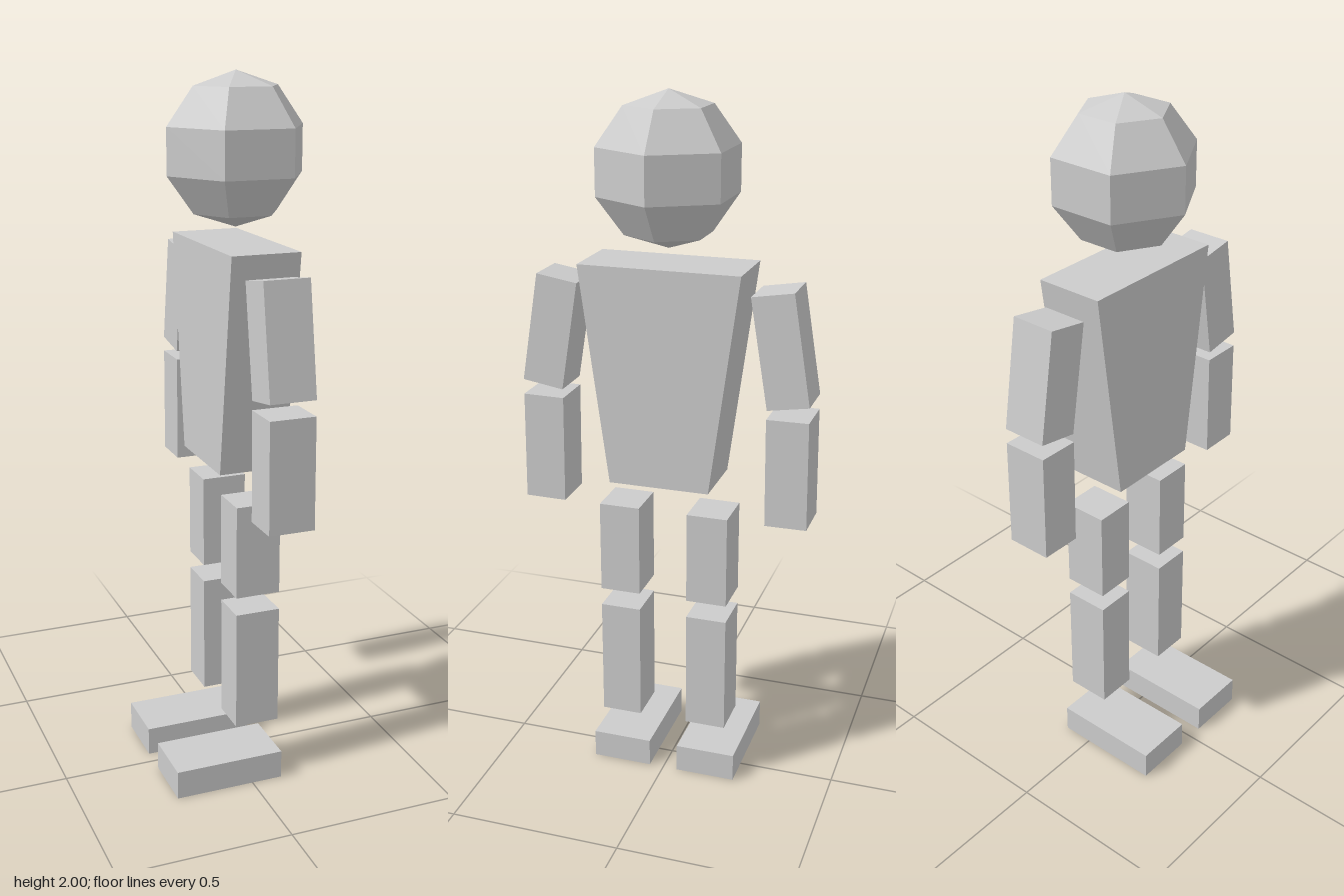
import * as THREE from 'three';

const material = new THREE.MeshStandardMaterial({ color: 0xcccccc, flatShading: true });

function addPart(parent, name, geometry, x, y, z, tilt = 0) {
  const mesh = new THREE.Mesh(geometry, material);
  mesh.name = name;
  mesh.position.set(x, y, z);
  mesh.rotation.x = tilt;
  parent.add(mesh);
  return mesh;
}

// Box whose bottom is narrowed along z
function taperedBox(width, height, topDepth, bottomDepth) {
  const geometry = new THREE.BoxGeometry(width, height, topDepth);
  const p = geometry.attributes.position;
  for (let i = 0; i < p.count; i++) {
    if (p.getY(i) < 0) p.setZ(i, p.getZ(i) * bottomDepth / topDepth);
  }
  geometry.computeVertexNormals();
  return geometry;
}

export function createModel() {
  const figure = new THREE.Group();
  figure.name = 'blockFigure';

  // Head and tapered torso
  addPart(figure, 'head', new THREE.SphereGeometry(0.206, 6, 5), 0.03, 1.794, 0);
  addPart(figure, 'torso', taperedBox(0.196, 0.616, 0.454, 0.287), 0.026, 1.24, 0.001);

  // Limbs, mirrored across z; the toes point to -x
  const limbX = 0.025, limbW = 0.13, limbD = 0.118;
  for (const [side, s] of [['left', 1], ['right', -1]]) {
    const arm = new THREE.Group();
    arm.name = side + 'Arm';
    addPart(arm, side + 'UpperArm', new THREE.BoxGeometry(limbW, 0.311, limbD), limbX, 1.343, s * 0.327, -s * 0.162);
    addPart(arm, side + 'Forearm', new THREE.BoxGeometry(limbW, 0.31, limbD), limbX, 1.0, s * 0.353, -s * 0.01);

    const leg = new THREE.Group();
    leg.name = side + 'Leg';
    addPart(leg, side + 'Thigh', new THREE.BoxGeometry(limbW, 0.269, limbD), limbX, 0.712, s * 0.13);
    addPart(leg, side + 'Shin', new THREE.BoxGeometry(limbW, 0.35, limbD), limbX, 0.35, s * 0.13);
    addPart(leg, side + 'Foot', new THREE.BoxGeometry(0.321, 0.083, 0.176), -0.07, 0.0415, s * 0.131);
    figure.add(arm, leg);
  }
  return figure;
}
